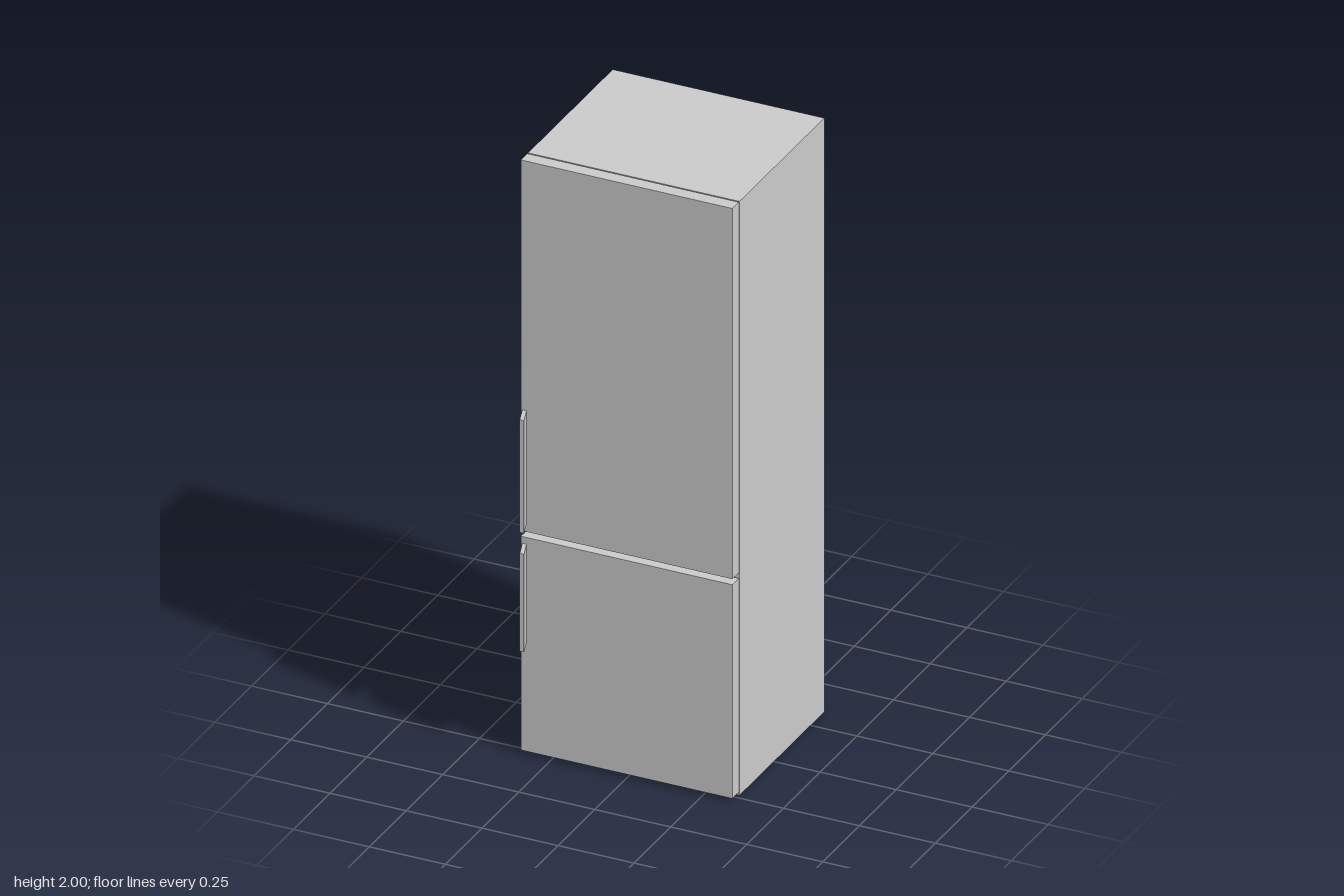
import * as THREE from 'three';

export function createModel() {
  const model = new THREE.Group();
  const material = new THREE.MeshStandardMaterial({ color: 0xcccccc, flatShading: true });
  const W = 0.348; // half width
  const BACK = -0.343, BODY_FRONT = 0.234, DOOR_BACK = 0.239, DOOR_FRONT = 0.283;

  const add = (name, geometry, parent = model) => {
    const mesh = new THREE.Mesh(geometry, material);
    mesh.name = name;
    parent.add(mesh);
    return mesh;
  };
  // Box given by its limits on each axis
  const box = (name, [x0, x1], [y0, y1], [z0, z1], parent) => {
    const mesh = add(name, new THREE.BoxGeometry(x1 - x0, y1 - y0, z1 - z0), parent);
    mesh.position.set((x0 + x1) / 2, (y0 + y1) / 2, (z0 + z1) / 2);
    return mesh;
  };
  const polygon = (Type, points) => new Type(points.map(([x, y]) => new THREE.Vector2(x, y)));
  const rect = (Type, x, y0, y1) => polygon(Type, [[-x, y0], [x, y0], [x, y1], [-x, y1]]);

  // Cabinet shell with an upper and a lower compartment behind the doors
  const shell = rect(THREE.Shape, W, 0, 2);
  shell.holes.push(rect(THREE.Path, W - 0.04, 0.06, 0.71), rect(THREE.Path, W - 0.04, 0.78, 1.95));
  const backPanel = 0.04;
  const shellDepth = BODY_FRONT - BACK - backPanel;
  add('cabinetShell', new THREE.ExtrudeGeometry(shell, { depth: shellDepth, bevelEnabled: false }))
    .position.z = BACK + backPanel;
  box('cabinetBack', [-W, W], [0, 2], [BACK, BACK + backPanel]);

  // Doors with slanted blade handles near the right edge
  const blade = polygon(THREE.Shape, [[-0.343, -DOOR_FRONT], [-0.323, -0.342], [-0.309, -0.342], [-0.329, -DOOR_FRONT]]);
  const doors = [
    { name: 'upperDoor', y: [0.752, 2], handle: [0.78, 1.16] },
    { name: 'lowerDoor', y: [0.013, 0.733], handle: [0.38, 0.71] },
  ];
  for (const { name, y, handle: [h0, h1] } of doors) {
    const door = new THREE.Group();
    door.name = name;
    model.add(door);
    box(name + 'Panel', [-W, W], y, [DOOR_BACK, DOOR_FRONT], door);
    const handle = add(name + 'Handle', new THREE.ExtrudeGeometry(blade, { depth: h1 - h0, bevelEnabled: false }), door);
    handle.rotation.x = -Math.PI / 2;
    handle.position.y = h0;
  }

  // Storage racks on the inside of the upper door
  for (const y of [[1.06, 1.16], [1.5, 1.57], [1.75, 1.82]]) {
    box('doorRack', [-0.278, 0.277], y, [0.15, DOOR_BACK], model.getObjectByName('upperDoor'));
  }
  return model;
}
